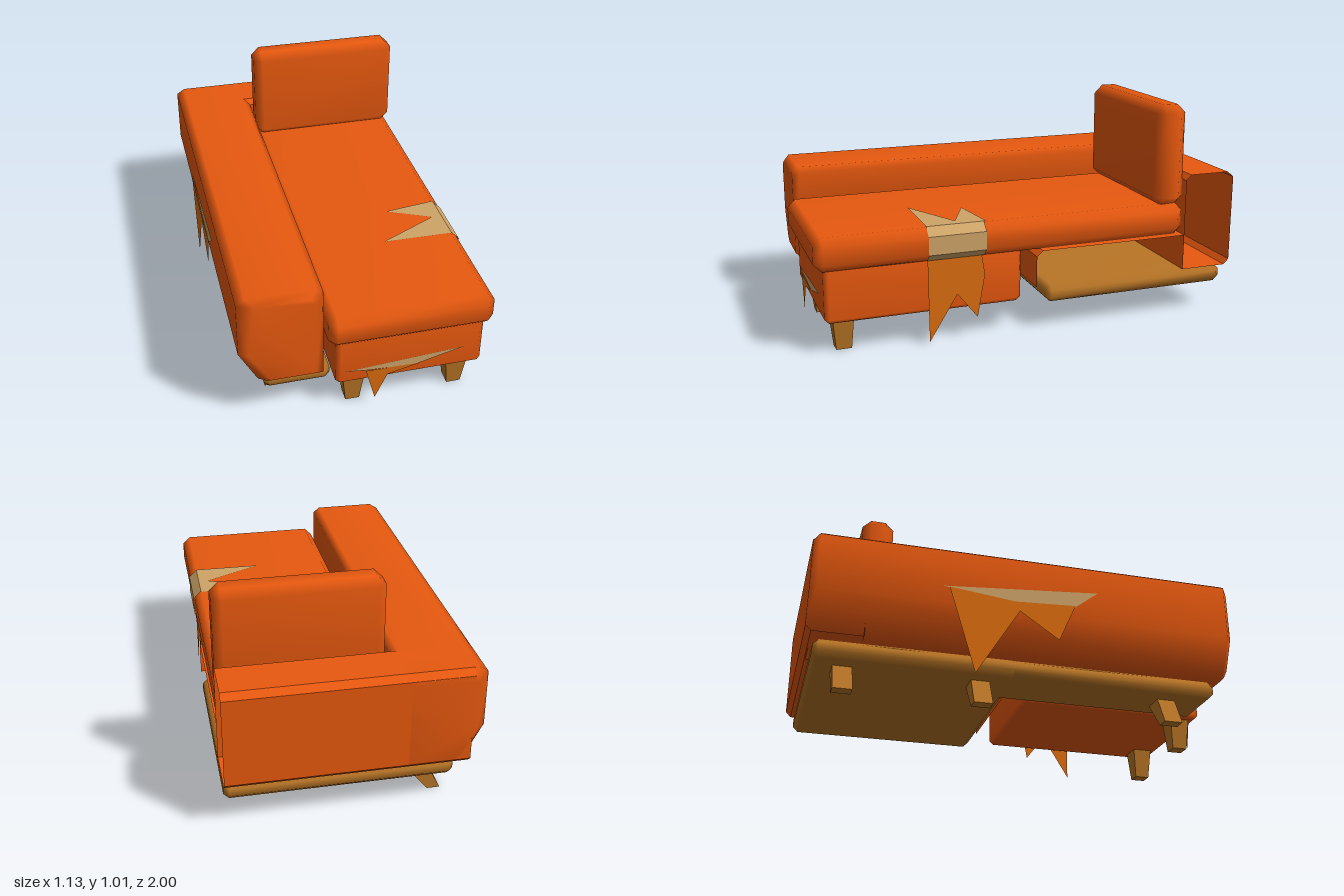
import * as THREE from 'three';
import { mergeVertices } from 'three/addons/utils/BufferGeometryUtils.js';
import { ConvexGeometry } from 'three/addons/geometries/ConvexGeometry.js';

const material = (name, color, side = THREE.FrontSide) => {
  const m = new THREE.MeshStandardMaterial({ color, side });
  m.name = name;
  return m;
};
const V = (x, y, z) => new THREE.Vector3(x, y, z);

// Convex solid with softened normals
function softHull(points) {
  const g = new ConvexGeometry(points);
  g.deleteAttribute('normal');
  const merged = mergeVertices(g);
  merged.computeVertexNormals();
  return merged;
}

// Box between two corners with chamfered, softly shaded edges
function chamferBox([x0, y0, z0], [x1, y1, z1], c) {
  const h = [(x1 - x0) / 2, (y1 - y0) / 2, (z1 - z0) / 2];
  const points = [];
  for (let axis = 0; axis < 3; axis++)
    for (const sx of [-1, 1]) for (const sy of [-1, 1]) for (const sz of [-1, 1]) {
      const p = h.map((v, i) => (i === axis ? v : v - c));
      points.push(V((x0 + x1) / 2 + sx * p[0], (y0 + y1) / 2 + sy * p[1], (z0 + z1) / 2 + sz * p[2]));
    }
  return softHull(points);
}

// Flat polygon placed in space by a mapping rule
function plate(points, map) {
  const g = new THREE.ShapeGeometry(new THREE.Shape(points.map(p => new THREE.Vector2(...p))));
  const pos = g.attributes.position;
  for (let i = 0; i < pos.count; i++) pos.setXYZ(i, ...map(pos.getX(i), pos.getY(i)));
  g.computeVertexNormals();
  return g;
}

// Open strip: a profile swept straight from t0 to t1
function strip(profile, t0, t1, map) {
  const verts = [];
  for (let i = 0; i < profile.length - 1; i++) {
    const [a, b] = [profile[i], profile[i + 1]];
    for (const [p, t] of [[a, t0], [b, t0], [b, t1], [a, t0], [b, t1], [a, t1]]) verts.push(...map(p[0], p[1], t));
  }
  const g = new THREE.BufferGeometry();
  g.setAttribute('position', new THREE.Float32BufferAttribute(verts, 3));
  g.computeVertexNormals();
  return g;
}

// Tapered leg from a top and a bottom rectangle [x0, x1, z0, z1]
function leg(top, topY, bottom) {
  const points = [];
  for (const [r, y] of [[top, topY], [bottom, 0]])
    for (const x of [r[0], r[1]]) for (const z of [r[2], r[3]]) points.push(V(x, y, z));
  return new ConvexGeometry(points);
}

export function createModel() {
  const group = new THREE.Group();
  const orange = material('orange fabric', 0xe8590f);
  const orangeShell = material('orange fabric', 0xe8590f, THREE.DoubleSide);
  orangeShell.name = 'orange fabric shell';
  const wood = material('wood', 0xb97526);
  const flapFabric = material('torn fabric', 0xda6c0e, THREE.DoubleSide);
  const padding = material('padding', 0xcfa468, THREE.DoubleSide);
  const add = (name, geometry, mat) => {
    const mesh = new THREE.Mesh(geometry, mat);
    mesh.name = name;
    group.add(mesh);
  };

  // Arm: slanted outer underside, chamfered ends
  const armProfile = [[-0.56, 0.39], [-0.56, 0.65], [-0.52, 0.676], [-0.22, 0.676],
    [-0.19, 0.65], [-0.19, 0.215], [-0.44, 0.215], [-0.48, 0.24]];
  const armPoints = [];
  for (const [x, y] of armProfile) {
    for (const z of [-0.97, 0.93]) armPoints.push(V(x, y, z));
    const [ix, iy] = [-0.375 + (x + 0.375) * 0.8, 0.445 + (y - 0.445) * 0.88];
    for (const z of [-1, 0.96]) armPoints.push(V(ix, iy, z));
  }
  add('arm', softHull(armPoints), orange);

  // Back rest and seat, open at the left end
  const alongX = (z, y, x) => [x, y, z];
  add('backRest', strip([[-0.75, 0.215], [-0.75, 0.65], [-0.775, 0.676], [-0.97, 0.676],
    [-1, 0.65], [-1, 0.24], [-0.975, 0.215], [-0.75, 0.215]], 0.565, -0.5, alongX), orangeShell);
  add('seat', strip([[0, 0.215], [0, 0.36], [-0.03, 0.385], [-0.75, 0.385]], 0.565, -0.2, alongX), orangeShell);

  // Chaise body, long cushion and upright pillow
  add('chaiseBody', chamferBox([-0.14, 0.145, 0.06], [0.53, 0.4, 0.96], 0.02), orange);
  add('chaiseCushion', chamferBox([-0.18, 0.385, -0.75], [0.56, 0.538, 1], 0.036), orange);
  add('backPillow', chamferBox([-0.18, 0.53, -0.75], [0.56, 1.007, -0.6], 0.04), orange);

  // Wooden base
  add('backBase', chamferBox([-0.445, 0.13, -0.96], [0.565, 0.214, -0.05], 0.025), wood);
  add('armBase', chamferBox([-0.445, 0.132, -0.9], [-0.15, 0.213, 0.9], 0.025), wood);

  // Legs: two straight under the chaise, three splayed under the arm
  for (const x of [-0.05, 0.43])
    add('chaiseLeg', leg([x - 0.05, x + 0.05, 0.825, 0.92], 0.148, [x - 0.032, x + 0.032, 0.835, 0.905]), wood);
  for (const z of [0.69, -0.205, -0.82])
    add('armLeg', leg([-0.35, -0.25, z - 0.043, z + 0.043], 0.135, [-0.418, -0.358, z - 0.043, z + 0.043]), wood);

  // Tear over the cushion edge
  add('cushionTearTop', plate([[0.527, 0.505], [0.2, 0.5], [0.48, 0.36], [0.28, 0.265], [0.527, 0.23]],
    (x, z) => [x, 0.542, z]), padding);
  add('cushionTearSide', strip([[0.527, 0.542], [0.565, 0.504], [0.565, 0.42], [0.535, 0.388]],
    0.505, 0.24, (x, y, z) => [x, y, z]), padding);
  add('cushionFlap', plate([[0.505, 0.39], [0.5, 0.01], [0.37, 0.22], [0.275, 0.1], [0.24, 0.3], [0.255, 0.39]],
    (z, y) => [0.54, y, z]), flapFabric);

  // Tear on the chaise front
  add('frontTear', plate([[-0.1, 0.225], [0.44, 0.26], [0.22, 0.203], [0, 0.213]],
    (x, y) => [x, y, 0.965]), padding);
  add('frontFlap', plate([[-0.01, 0.214], [0.035, 0.05], [0.09, 0.175], [0.24, 0.21]],
    (x, y) => [x, y, 0.969]), flapFabric);

  // Tear on the outer side of the arm
  add('armTear', plate([[-0.43, 0.47], [0.29, 0.53], [0.16, 0.43], [-0.1, 0.43]],
    (z, y) => [-0.564, y, z]), padding);
  add('armFlap', plate([[-0.4, 0.468], [-0.28, 0.07], [-0.08, 0.39], [0.1, 0.27], [0.18, 0.45], [-0.1, 0.435]],
    (z, y) => [-0.567, y, z]), flapFabric);

  return group;
}
